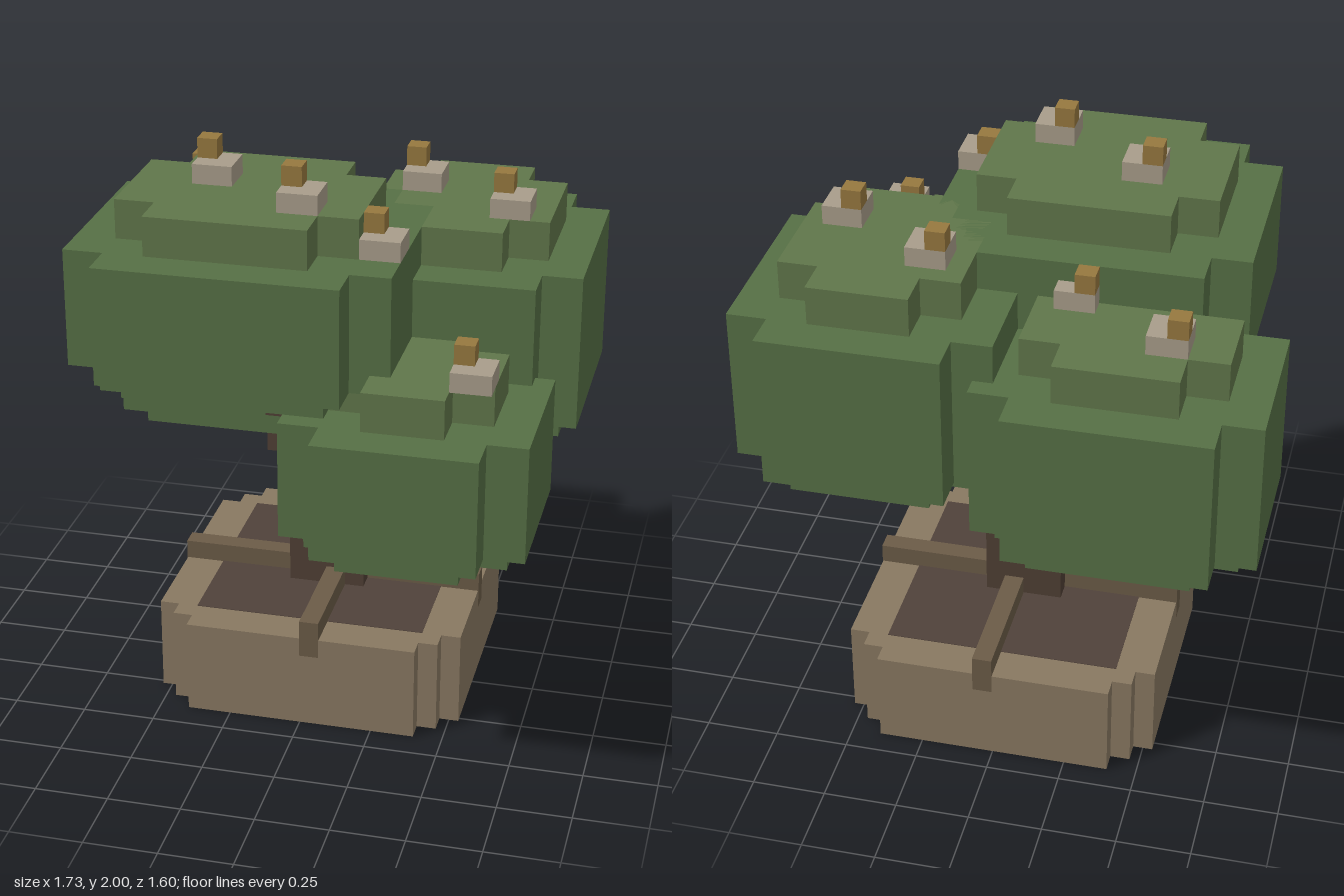
import * as THREE from 'three';

const U = 1 / 15; // one block

const mat = (color) => new THREE.MeshStandardMaterial({ color });
const M = {
  pot: mat(0x887861), soil: mat(0x50423a), beam: mat(0x6b5b47), bark: mat(0x4f3f34),
  leaf: mat(0x567045), leafTop: mat(0x60764a), petal: mat(0xa89d8a), bud: mat(0x96783f),
};

// Box from its block limits
function box(name, material, [x0, x1], [y0, y1], [z0, z1]) {
  const g = new THREE.BoxGeometry((x1 - x0) * U, (y1 - y0) * U, (z1 - z0) * U);
  g.translate((x0 + x1) / 2 * U, (y0 + y1) / 2 * U, (z0 + z1) / 2 * U);
  const mesh = new THREE.Mesh(g, material);
  mesh.name = name;
  return mesh;
}

// Upright prism with notched corners; steps = half sizes [x, z], widest x first
function notched(name, material, cx, cz, y0, y1, steps) {
  const q = [];
  steps.forEach(([hx, hz], i) => {
    q.push([hx, hz]);
    if (i + 1 < steps.length) q.push([steps[i + 1][0], hz]);
  });
  const r = [...q].reverse();
  const outline = [
    ...q,
    ...r.map(([x, z]) => [-x, z]),
    ...q.map(([x, z]) => [-x, -z]),
    ...r.map(([x, z]) => [x, -z]),
  ].map(([x, z]) => new THREE.Vector2(x * U, z * U));
  const g = new THREE.ExtrudeGeometry(new THREE.Shape(outline), { depth: (y1 - y0) * U, bevelEnabled: false });
  g.rotateX(-Math.PI / 2);
  g.translate(cx * U, y0 * U, cz * U);
  const mesh = new THREE.Mesh(g, material);
  mesh.name = name;
  return mesh;
}

// Leaf clump: inset underside, thick body, smaller crown
function clump(name, { x, z, y0, y1, hx, hz }) {
  const group = new THREE.Group();
  group.name = name;
  const cross = (d) => [[hx - d, hz - d - 2], [hx - d - 2, hz - d]];
  group.add(
    notched('underside', M.leaf, x, z, y0 - 1, y0, cross(1)),
    notched('body', M.leaf, x, z, y0, y1, cross(0)),
    notched('crown', M.leafTop, x, z, y1, y1 + 2, [[hx - 2, hz - 4], [hx - 4, hz - 2]]),
  );
  return group;
}

function flower(x, y, z) {
  const group = new THREE.Group();
  group.name = 'flower';
  group.add(
    box('petals', M.petal, [x, x + 2], [y, y + 1], [z, z + 2]),
    box('bud', M.bud, [x, x + 1], [y + 1, y + 2], [z, z + 1]),
  );
  return group;
}

export function createModel() {
  const model = new THREE.Group();
  model.name = 'pottedTree';

  // Pot, soil and the crossed beams that hook over the rim
  model.add(
    notched('pot', M.pot, 0, -2, 0, 5, [[8, 6], [7, 7], [6, 8]]),
    box('soil', M.soil, [-6, 6], [4.5, 5.03], [-8, 4]),
    box('beamAcross', M.beam, [-8, 8], [5, 6], [-2, -1]),
    box('beamAlong', M.beam, [0, 1], [5, 5.99], [-10, 6]),
  );
  const e = 0.03;
  for (const [x, z] of [[-8 - e, -2], [7 + e, -2], [0, -10 - e], [0, 5 + e]]) {
    model.add(box('beamHook', M.beam, [x, x + 1], [4, 6], [z, z + 1]));
  }

  // Trunk and four stepped branches
  const trunk = new THREE.Group();
  trunk.name = 'trunk';
  const wood = [
    [[-2, 2], [5, 8], [-3, 0]], [[-2, 0], [8, 9], [-3, 0]],
    // front right branch
    [[-2, 0], [8.5, 15], [-1, 1]], [[-3, 0], [15, 17], [-1, 1]], [[-3, -1], [16.5, 20], [0, 2]],
    // back right branch
    [[-3, -1], [8.5, 11], [-4, -2]], [[-4, -2], [11, 14], [-5, -3]],
    // back left branch
    [[0, 2], [8, 10], [-3, -1]], [[0, 2], [10, 13], [-4, -2]], [[1, 3], [13, 16], [-4, -2]],
    // front left branch
    [[0, 2], [7, 9], [-1, 1]], [[0, 3], [8, 10], [0, 2]],
    [[1, 4], [10, 12], [0, 3]], [[2, 4], [11, 13], [2, 4]],
  ];
  wood.forEach((b, i) => trunk.add(box('trunkBlock' + (i + 1), M.bark, ...b)));
  model.add(trunk);

  // Foliage
  model.add(
    clump('frontRightFoliage', { x: -3, z: 3, y0: 20, y1: 26, hx: 8, hz: 7 }),
    clump('backRightFoliage', { x: -6, z: -6, y0: 14, y1: 22, hx: 7, hz: 6 }),
    clump('backLeftFoliage', { x: 6.5, z: -4, y0: 16, y1: 24, hx: 6.5, hz: 7 }),
    clump('frontLeftFoliage', { x: 6, z: 6, y0: 13, y1: 19, hx: 6, hz: 6 }),
  );

  // Flowers on the crowns
  const spots = [
    [-9, 24, -8], [-4, 24, -5], [3, 26, -6], [8, 26, -3],
    [-6, 28, 1], [-1, 28, 4], [3, 26, 4], [8, 21, 7],
  ];
  for (const s of spots) model.add(flower(...s));

  return model;
}
